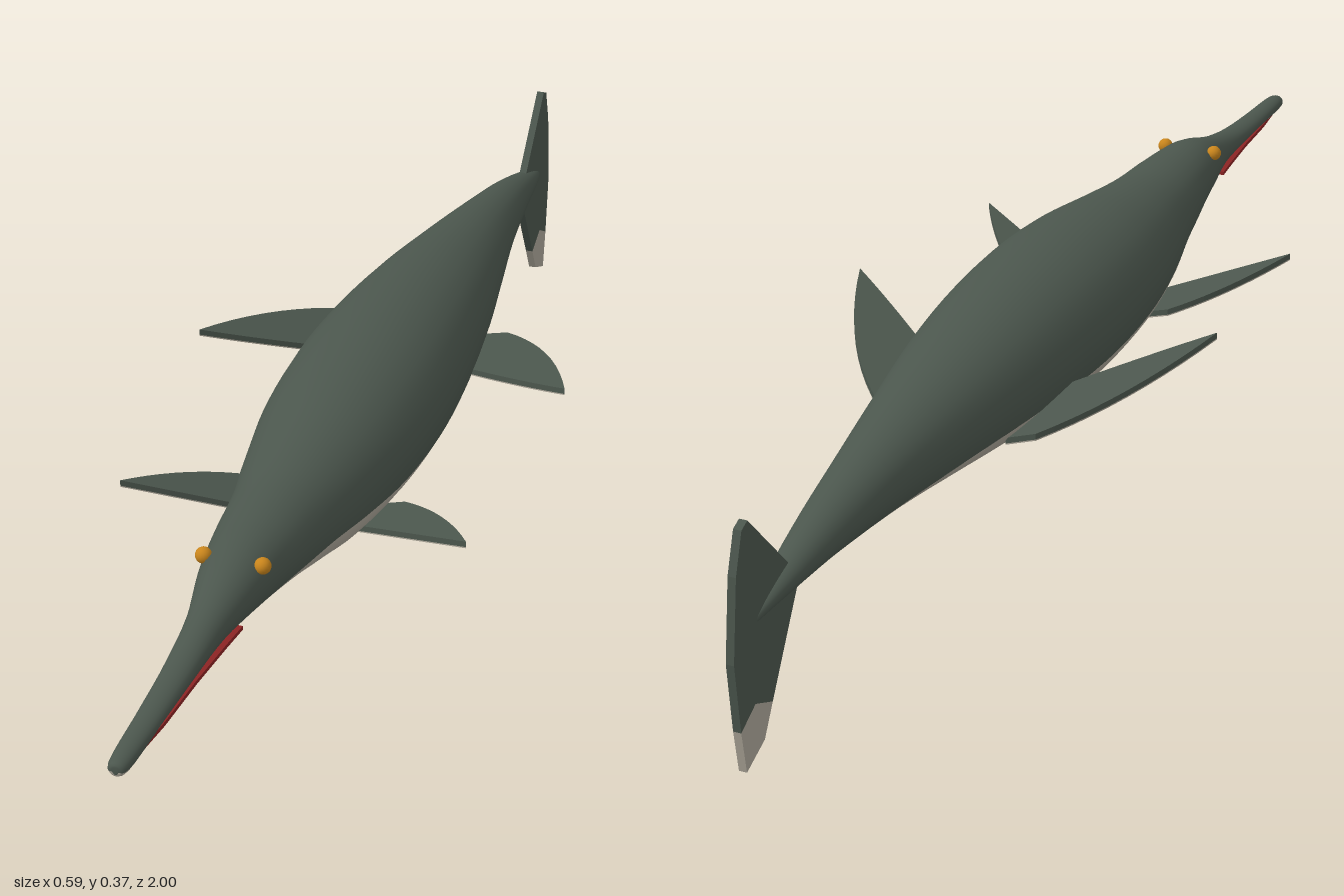
import * as THREE from 'three';

const mat = (name, color, side = THREE.FrontSide) => {
  const m = new THREE.MeshStandardMaterial({ color, side });
  m.name = name;
  return m;
};

// Body stations: z, half width, top y, bottom y, y of the colour boundary
const STATIONS = [
  [1.0, 0.004, 0.258, 0.248, 0.252],
  [0.985, 0.015, 0.266, 0.243, 0.252],
  [0.88, 0.019, 0.27, 0.245, 0.252],
  [0.78, 0.023, 0.278, 0.245, 0.251],
  [0.68, 0.03, 0.297, 0.241, 0.25],
  [0.58, 0.05, 0.326, 0.231, 0.249],
  [0.48, 0.066, 0.333, 0.212, 0.246],
  [0.38, 0.08, 0.337, 0.184, 0.24],
  [0.28, 0.1, 0.348, 0.16, 0.232],
  [0.15, 0.12, 0.365, 0.147, 0.22],
  [0, 0.128, 0.374, 0.142, 0.215],
  [-0.15, 0.121, 0.37, 0.146, 0.216],
  [-0.3, 0.105, 0.355, 0.16, 0.22],
  [-0.45, 0.081, 0.332, 0.178, 0.22],
  [-0.6, 0.057, 0.306, 0.195, 0.216],
  [-0.75, 0.037, 0.274, 0.204, 0.212],
  [-0.88, 0.019, 0.235, 0.203, 0.207],
  [-0.95, 0.003, 0.205, 0.196, 0.199],
];

// Smooth loft of ellipses; back and belly are two material groups sharing one skin
function bodyGeometry() {
  const rows = 72, half = 16, ring = half * 2;
  const curves = [1, 2, 3, 4].map((k) =>
    new THREE.SplineCurve(STATIONS.map((s) => new THREE.Vector2(s[0], s[k]))));
  const pos = [], upper = [], lower = [];
  for (let i = 0; i <= rows; i++) {
    const p = curves.map((c) => c.getPoint(i / rows));
    const [w, top, bottom, split] = p.map((v) => v.y);
    const cy = (top + bottom) / 2, h = (top - bottom) / 2;
    const a0 = Math.asin(THREE.MathUtils.clamp((split - cy) / h, -0.9, 0.9));
    for (let j = 0; j < ring; j++) {
      const a = j < half
        ? a0 + (Math.PI - 2 * a0) * j / half
        : Math.PI - a0 + (Math.PI + 2 * a0) * (j - half) / half;
      pos.push(w * Math.cos(a), cy + h * Math.sin(a), p[0].x);
    }
  }
  for (let i = 0; i < rows; i++) {
    for (let j = 0; j < ring; j++) {
      const a = i * ring + j, b = i * ring + (j + 1) % ring;
      (j < half ? upper : lower).push(a, a + ring, b, b, a + ring, b + ring);
    }
  }
  // Close the snout and tail ends
  const last = rows * ring;
  for (let j = 1; j < ring - 1; j++) {
    upper.push(0, j, j + 1);
    upper.push(last, last + j + 1, last + j);
  }
  const g = new THREE.BufferGeometry();
  g.setAttribute('position', new THREE.Float32BufferAttribute(pos, 3));
  g.setIndex([...upper, ...lower]);
  g.addGroup(0, upper.length, 0);
  g.addGroup(upper.length, lower.length, 1);
  g.computeVertexNormals();
  return g;
}

const plate = (shape, depth) =>
  new THREE.ExtrudeGeometry(shape, { depth, bevelEnabled: false, curveSegments: 10 });

// Horizontal plate from an x,z outline, with its top on the plane y = heightAt(x, z)
function flatPlate(shape, depth, heightAt) {
  const g = plate(shape, depth).rotateX(Math.PI / 2);
  const p = g.attributes.position;
  for (let i = 0; i < p.count; i++) {
    p.setY(i, p.getY(i) + heightAt(p.getX(i), p.getZ(i)));
  }
  g.computeVertexNormals();
  return g;
}

// Vertical plate from a z,y outline, centred on x = 0
const finPlate = (points, depth) =>
  plate(new THREE.Shape(points.map((p) => new THREE.Vector2(...p))), depth)
    .rotateY(-Math.PI / 2).translate(depth / 2, 0, 0);

export function createModel() {
  const model = new THREE.Group();
  const dark = mat('dark back', 0x4b564d);
  const pale = mat('pale belly', 0xaca699);
  const amber = mat('amber eye', 0xc9851c);
  const red = mat('red mouth', 0x8c2424);
  const add = (name, geometry, material, parent = model) => {
    const m = new THREE.Mesh(geometry, material);
    m.name = name;
    parent.add(m);
    return m;
  };

  add('body', bodyGeometry(), [dark, pale]);

  // Thin red line between the jaws
  const mouth = new THREE.Shape([[0.037, 0.64], [0.032, 0.69], [0.0245, 0.78], [0.0195, 0.88], [0.012, 0.95],
    [-0.012, 0.95], [-0.0195, 0.88], [-0.0245, 0.78], [-0.032, 0.69], [-0.037, 0.64]]
    .map((p) => new THREE.Vector2(...p)));
  add('mouth', flatPlate(mouth, 0.006, () => 0.253), red);

  // Flippers: root rear, two curve controls to the tip, and back along the inner edge
  const flippers = [
    { name: 'rear', root: [0.08, -0.335], rim: [0.125, -0.33], out: [0.23, -0.24],
      tip: [0.293, -0.055], inn: [0.2, -0.11], end: [0.08, -0.2], base: 0.217 },
    { name: 'front', root: [0.07, 0.185], rim: [0.12, 0.185], out: [0.2, 0.235],
      tip: [0.262, 0.347], inn: [0.18, 0.31], end: [0.07, 0.26], base: 0.149 },
  ];
  for (const f of flippers) {
    for (const s of [1, -1]) {
      const shape = new THREE.Shape();
      shape.moveTo(s * f.root[0], f.root[1]);
      shape.lineTo(s * f.rim[0], f.rim[1]);
      shape.quadraticCurveTo(s * f.out[0], f.out[1], s * f.tip[0], f.tip[1]);
      shape.quadraticCurveTo(s * f.inn[0], f.inn[1], s * f.end[0], f.end[1]);
      shape.closePath();
      const flipper = new THREE.Group();
      flipper.name = f.name + (s > 0 ? 'LeftFlipper' : 'RightFlipper');
      const plane = (x, z) => f.base + 0.28 * Math.abs(x) + 0.1 * z;
      add('flipperTop', flatPlate(shape, 0.009, plane), dark, flipper);
      add('flipperUnderside', flatPlate(shape, 0.002, (x, z) => plane(x, z) - 0.009), pale, flipper);
      model.add(flipper);
    }
  }

  // Upright tail fin with a pale lower tip
  add('tailFin', finPlate([[-0.82, 0.212], [-0.95, 0.355], [-0.966, 0.348], [-0.985, 0.29], [-1, 0.17],
    [-0.99, 0.065], [-0.95, 0.087], [-0.905, 0.066]], 0.012), dark);
  add('tailFinTip', finPlate([[-0.905, 0.066], [-0.95, 0.087], [-0.99, 0.065], [-0.98, 0],
    [-0.93, 0.022]], 0.012), pale);

  // Eyes
  for (const s of [1, -1]) {
    add(s > 0 ? 'leftEye' : 'rightEye',
      new THREE.SphereGeometry(0.012, 16, 12).translate(s * 0.043, 0.311, 0.575), amber);
  }
  return model;
}
